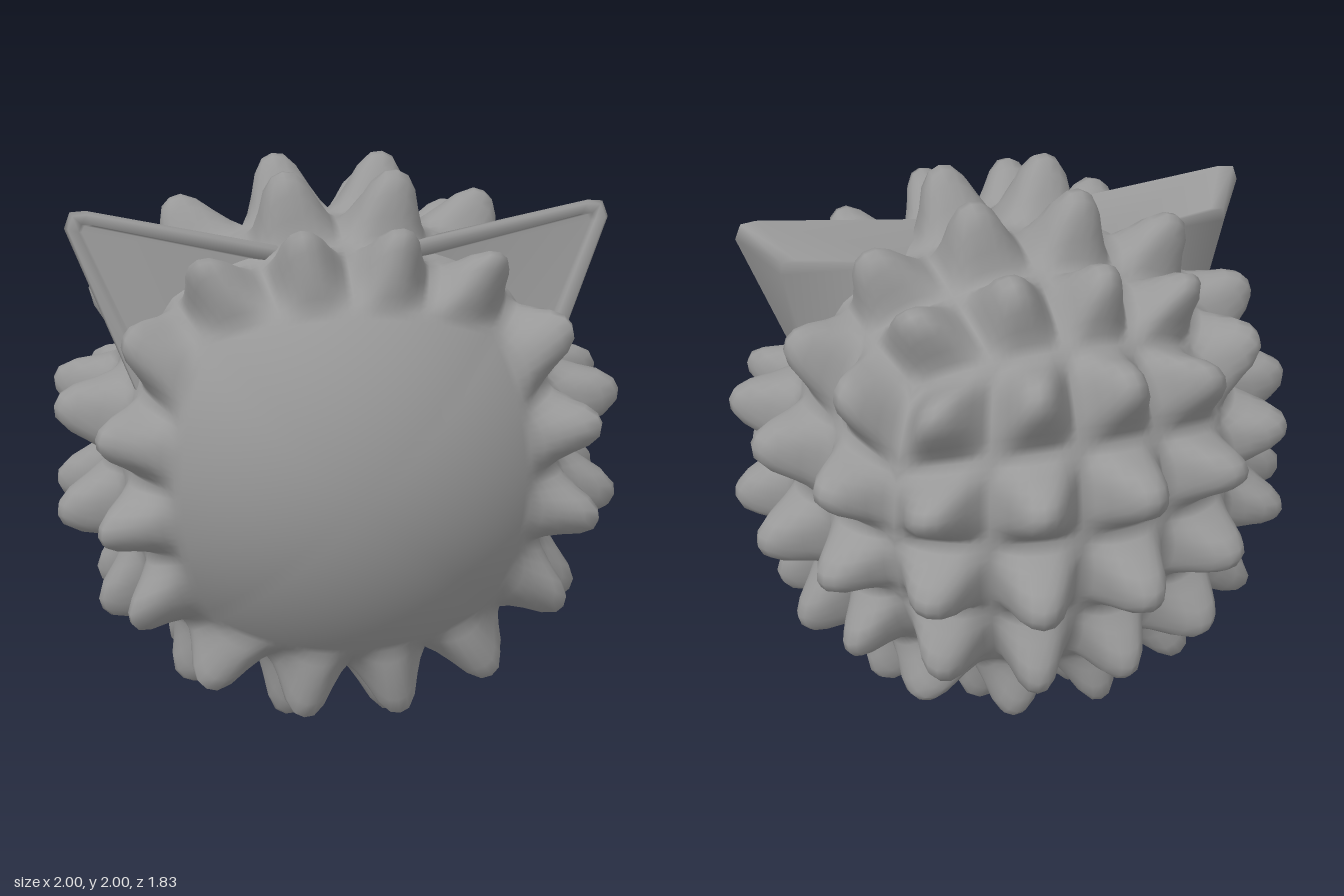
import * as THREE from 'three';
import { mergeVertices, mergeGeometries } from 'three/addons/utils/BufferGeometryUtils.js';

const CELLS = 4;     // spikes along each side of a cube-sphere face
const EDGE = 0.86;   // ball radius along the cube-sphere edges
const TIP = 1.04;    // radius at the spike tips
const FALLOFF = [1, 0.95, 0.74, 0.41, 0.16, 0]; // spike height from axis to cell edge

// Ball radius between spikes: slightly flattened in the middle of each face
function baseRadius(u, v, middle) {
  const m = Math.max(Math.abs(u), Math.abs(v));
  return middle + (EDGE - middle) * m * m;
}

function spikeRadius(u, v) {
  const local = t => {
    const c = (t + 1) * CELLS / 2;
    return Math.abs((c - Math.floor(c)) * 2 - 1);
  };
  const p = 3;
  const d = 5 * Math.min(1, Math.pow(local(u) ** p + local(v) ** p, 1 / p));
  const i = Math.min(4, Math.floor(d));
  const base = baseRadius(u, v, 0.815);
  return base + (TIP - base) * THREE.MathUtils.lerp(FALLOFF[i], FALLOFF[i + 1], d - i);
}

// Sides around the dome: front edge at v = -1, no spike where an ear stands.
// earEnds holds the signs of u at which an ear is rooted.
const sideRadius = earEnds => (u, v) => {
  if (v > -0.5 && v < 0 && earEnds.some(s => s * u > 0.5)) return baseRadius(u, v, 0.815);
  if (v < -0.75) return THREE.MathUtils.lerp(spikeRadius(u, -0.75), EDGE, (-0.75 - v) * 4);
  return spikeRadius(u, v);
};

// One sixth of the ball, facing +z, with radius given by a rule
function sphereFace(radius) {
  const g = new THREE.PlaneGeometry(2, 2, CELLS * 10, CELLS * 10);
  const pos = g.attributes.position;
  const dir = new THREE.Vector3();
  for (let i = 0; i < pos.count; i++) {
    const u = pos.getX(i), v = pos.getY(i);
    dir.set(Math.tan(u * Math.PI / 4), Math.tan(v * Math.PI / 4), 1).setLength(radius(u, v));
    pos.setXYZ(i, dir.x, dir.y, dir.z);
  }
  g.deleteAttribute('uv');
  g.deleteAttribute('normal');
  return g;
}

function smooth(g) {
  const merged = mergeVertices(g, 1e-4);
  merged.computeVertexNormals();
  return merged;
}

// Ear: loops from the back, over the rim and into the hollow.
// Each loop runs inner base, rounded tip (3 points), lower base.
function earGeometry(side) {
  const loops = [
    [[0.25, 1.71, 0.09], [0.77, 1.79, 0.09], [0.82, 1.785, 0.09], [0.825, 1.74, 0.09], [0.71, 1.28, 0.09]],
    [[0.22, 1.765, 0.37], [0.87, 1.88, 0.265], [0.925, 1.875, 0.26], [0.945, 1.82, 0.265], [0.715, 1.26, 0.38]],
    [[0.23, 1.755, 0.385], [0.865, 1.87, 0.285], [0.915, 1.865, 0.28], [0.932, 1.82, 0.285], [0.71, 1.265, 0.395]],
    [[0.27, 1.72, 0.385], [0.85, 1.835, 0.285], [0.885, 1.835, 0.28], [0.895, 1.81, 0.285], [0.67, 1.29, 0.395]],
    [[0.28, 1.71, 0.35], [0.845, 1.825, 0.255], [0.875, 1.825, 0.25], [0.885, 1.805, 0.255], [0.66, 1.3, 0.36]],
  ];
  const out = [];
  const tri = (a, b, c) => {
    for (const p of side > 0 ? [a, b, c] : [a, c, b]) out.push(p[0] * side, p[1], p[2]);
  };
  for (let l = 0; l + 1 < loops.length; l++) {
    const a = loops[l], b = loops[l + 1];
    for (let i = 0; i < 4; i++) {
      tri(a[i], b[i], b[i + 1]);
      tri(a[i], b[i + 1], a[i + 1]);
    }
  }
  // Back wall and hollow floor
  const back = loops[0], floor = loops[loops.length - 1];
  for (let i = 1; i < 4; i++) {
    tri(back[0], back[i], back[i + 1]);
    tri(floor[0], floor[i + 1], floor[i]);
  }
  const g = new THREE.BufferGeometry();
  g.setAttribute('position', new THREE.Float32BufferAttribute(out, 3));
  return smooth(g);
}

export function createModel() {
  const model = new THREE.Group();
  model.name = 'spikyBall';
  const grey = new THREE.MeshStandardMaterial({ color: 0x999999, side: THREE.DoubleSide });
  grey.name = 'grey';

  const add = (name, geometry) => {
    const mesh = new THREE.Mesh(geometry, grey);
    mesh.name = name;
    model.add(mesh);
    return mesh;
  };

  // Top, right, bottom and left sides, then the back and the smooth front dome
  const earEnds = [[-1, 1], [1], [], [-1]];
  const faces = earEnds.map((ends, k) =>
    sphereFace(sideRadius(ends)).rotateX(-Math.PI / 2).rotateZ(k * Math.PI / 2));
  faces.push(sphereFace(spikeRadius).rotateY(Math.PI));
  faces.push(sphereFace((u, v) => baseRadius(u, v, 0.83)));
  add('spikedBody', smooth(mergeGeometries(faces))).position.set(0, 1, 0.085);

  // Ears
  add('leftEar', earGeometry(1));
  add('rightEar', earGeometry(-1));
  return model;
}
